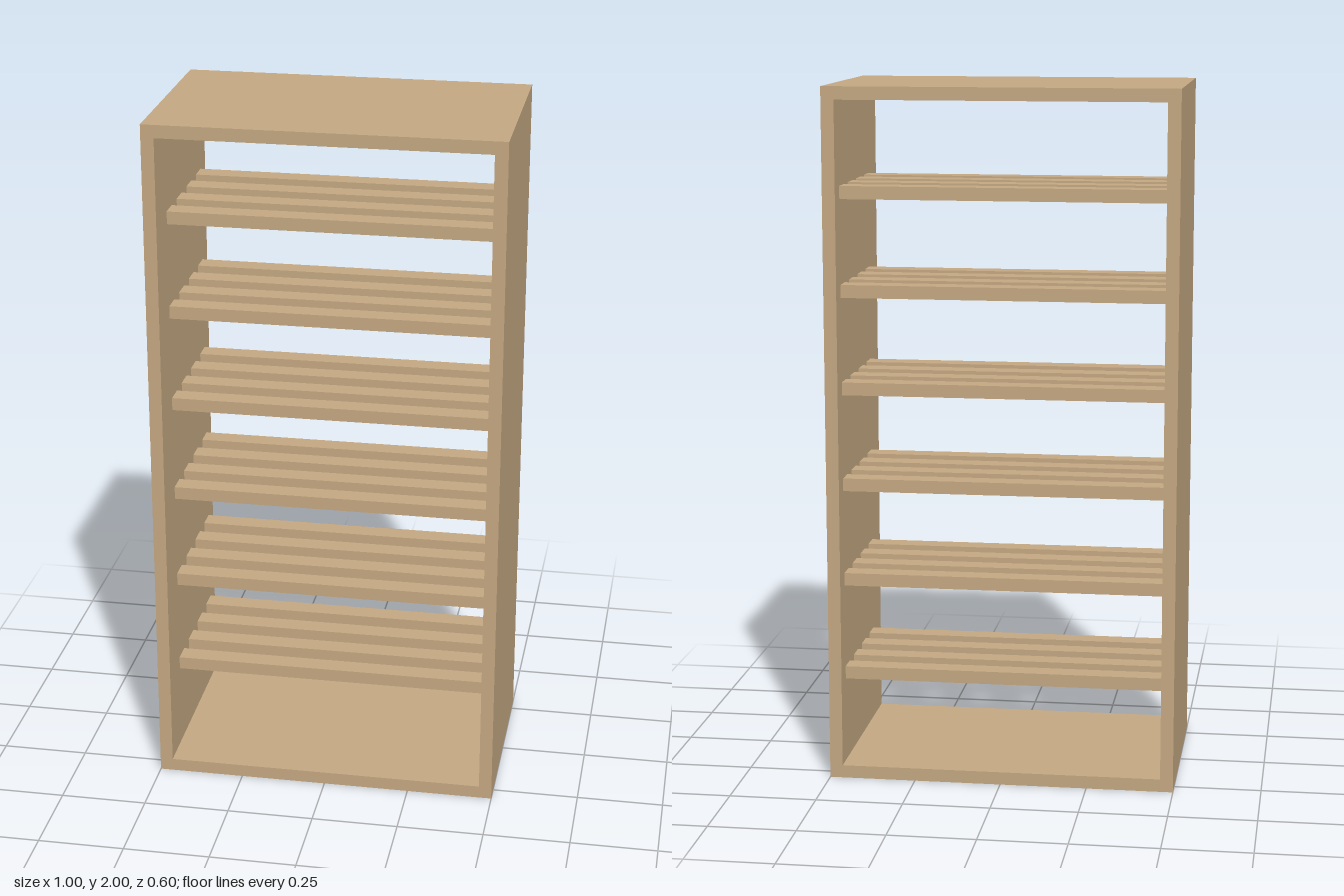
import * as THREE from 'three';

const W = 1, H = 2, D = 0.6, T = 0.037; // cabinet size and board thickness

export function createModel() {
  const group = new THREE.Group();
  const wood = new THREE.MeshStandardMaterial({ color: 0xc4a882 });
  wood.name = 'paleWood';

  const board = (name, w, h, d, x, y, z) => {
    const mesh = new THREE.Mesh(new THREE.BoxGeometry(w, h, d), wood);
    mesh.name = name;
    mesh.position.set(x, y, z);
    group.add(mesh);
  };

  // Outer frame, open at front and back
  const inner = W - 2 * T;
  board('leftSide', T, H, D, (W - T) / 2, H / 2, 0);
  board('rightSide', T, H, D, -(W - T) / 2, H / 2, 0);
  board('topPanel', inner, T, D, 0, H - T / 2, 0);
  board('bottomPanel', inner, T, D, 0, T / 2, 0);

  // Six shelves, each made of four slats set slightly towards the back
  for (let shelf = 1; shelf <= 6; shelf++) {
    for (let i = 0; i < 4; i++) {
      board(`shelf${shelf}Slat${i + 1}`, inner, T, 0.06, 0, 0.002 + shelf * 0.28 + T / 2, -0.21 + i * 0.12);
    }
  }
  return group;
}
